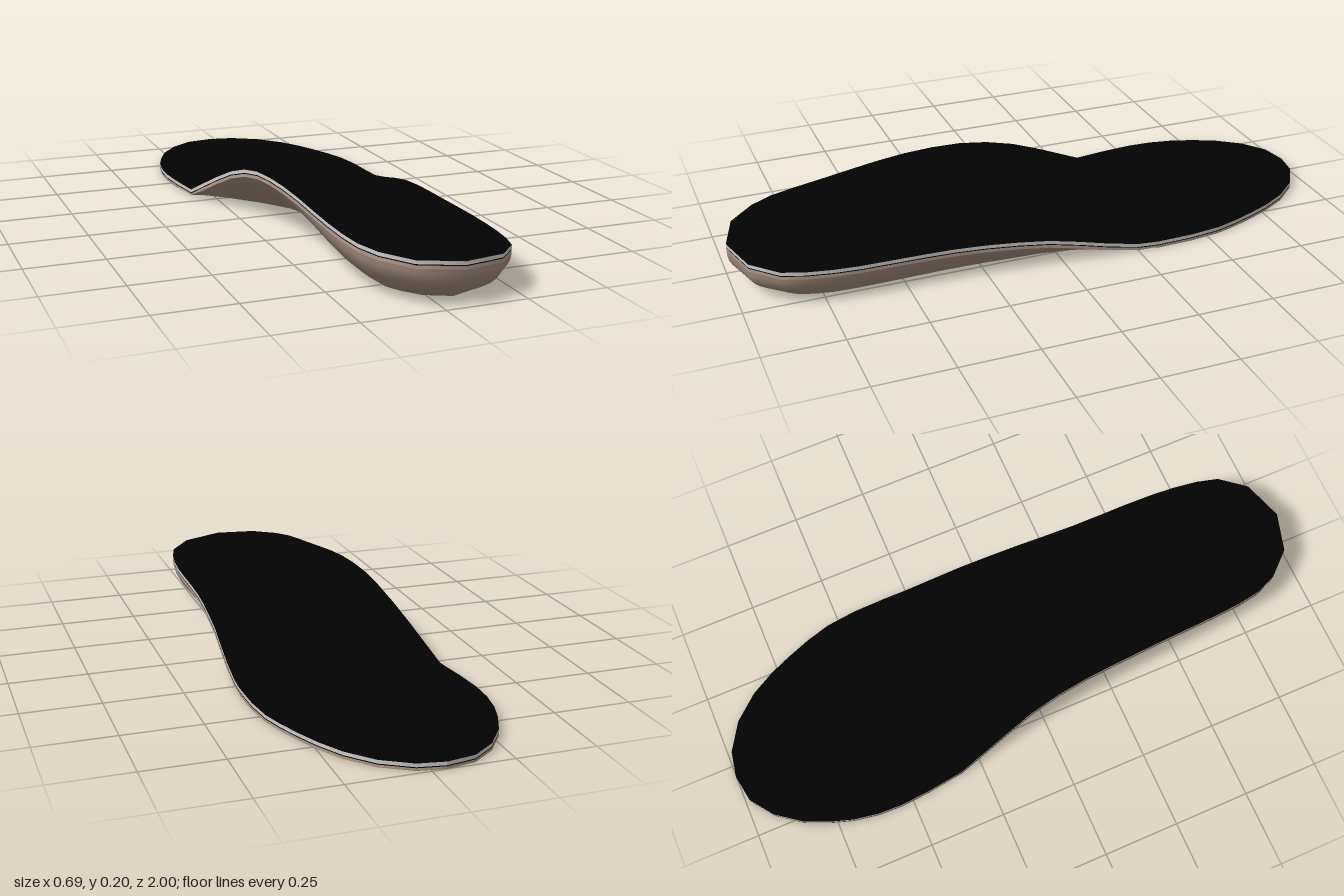
import * as THREE from 'three';

// Stations toe to heel: z, left edge x, right edge x, left edge y, right edge y, middle y
const T = 0.022;
const STATIONS = [
  [-1, -0.045, -0.045], [-0.985, -0.135, 0.04], [-0.93, -0.21, 0.13], [-0.85, -0.27, 0.2],
  [-0.77, -0.305, 0.245], [-0.7, -0.328, 0.275], [-0.62, -0.342, 0.305], [-0.54, -0.345, 0.328],
  [-0.44, -0.337, 0.34], [-0.32, -0.321, 0.343],
  [-0.25, -0.306, 0.341, 0.056, 0.026, 0.023], [-0.15, -0.285, 0.336, 0.104, 0.045, 0.03],
  [-0.05, -0.264, 0.329, 0.148, 0.068, 0.043], [0.05, -0.25, 0.32, 0.178, 0.087, 0.057],
  [0.15, -0.241, 0.313, 0.195, 0.098, 0.068], [0.25, -0.234, 0.306, 0.2, 0.105, 0.072],
  [0.35, -0.227, 0.301, 0.198, 0.109, 0.07], [0.45, -0.219, 0.3, 0.19, 0.111, 0.066],
  [0.55, -0.211, 0.3, 0.178, 0.112, 0.062], [0.65, -0.202, 0.298, 0.166, 0.112, 0.06],
  [0.73, -0.193, 0.292, 0.158, 0.113, 0.061], [0.81, -0.178, 0.28, 0.151, 0.115, 0.067],
  [0.88, -0.147, 0.26, 0.145, 0.118, 0.079], [0.96, -0.075, 0.19, 0.138, 0.125, 0.11],
  [1, 0.055, 0.055, 0.132, 0.132, 0.132],
].map(([z, xl, xr, yl = T, yr = T, yc = T]) => ({ z, xl, xr, yl, yr, yc }));

// How far the base tucks under along z, as a share of the half width
const TUCK_LEFT = [[-0.36, 0], [-0.2, 0.42], [-0.05, 0.7], [0.1, 0.84], [0.25, 0.8], [0.4, 0.64], [0.6, 0.48], [1, 0.42]];
const TUCK_RIGHT = [[-0.32, 0], [-0.15, 0.2], [0, 0.28], [0.3, 0.28], [1, 0.24]];

const COVER = 0.011;
const SEAM = 0.003;
const WALL_STEPS = 8;
const TOP_STEPS = 20;

// Straight-line lookup in a list of [z, value] pairs
function lookup(keys, z) {
  if (z <= keys[0][0]) return keys[0][1];
  const i = keys.findIndex(([k]) => k >= z);
  const [[z0, v0], [z1, v1]] = [keys[i - 1], keys[i]];
  return v0 + ((v1 - v0) * (z - z0)) / (z1 - z0);
}

// Joins rows of points into one smooth sheet
function sheet(rows) {
  const cols = rows[0].length;
  const index = [];
  for (let i = 0; i < rows.length - 1; i++) {
    for (let j = 0; j < cols - 1; j++) {
      const a = i * cols + j, d = a + cols;
      index.push(a, a + 1, d + 1, a, d + 1, d);
    }
  }
  const geo = new THREE.BufferGeometry();
  geo.setAttribute('position', new THREE.Float32BufferAttribute(rows.flat(2), 3));
  geo.setIndex(index);
  geo.computeVertexNormals();
  return geo;
}

// Wall point: t = 0 under the lip, t = 1 at the sole; nearly straight at the arch, rounder at the heel
function wallPoint(s, left, y, t) {
  const half = (s.xr - s.xl) / 2;
  const bulge = Math.pow(t, 1.15 + 0.7 * THREE.MathUtils.smoothstep(s.z, 0.35, 0.85));
  const x = left
    ? s.xl + half * lookup(TUCK_LEFT, s.z) * bulge
    : s.xr - half * lookup(TUCK_RIGHT, s.z) * bulge;
  const z = s.z - 0.07 * THREE.MathUtils.smoothstep(s.z, 0.6, 1) * Math.pow(t, 2.5);
  return [x, y, z];
}

// The sole lifts slightly at the back of the heel
const soleY = (s) => 0.01 * THREE.MathUtils.smoothstep(s.z, 0.75, 1);

// Walks the outline: down the left side, round the heel, back up the right side
function outline(column) {
  return [
    ...STATIONS.map((s) => column(s, true)),
    ...STATIONS.slice(0, -1).reverse().map((s) => column(s, false)),
  ];
}

// Upright strip around the rim, between two depths below the top edge
function band(from, to) {
  return sheet(outline((s, left) => {
    const y = left ? s.yl : s.yr;
    return [from, to].map((d) => wallPoint(s, left, y - d, 0));
  }));
}

export function createModel() {
  const group = new THREE.Group();
  const add = (name, geo, color) => {
    const mesh = new THREE.Mesh(geo, new THREE.MeshStandardMaterial({ color }));
    mesh.name = name;
    group.add(mesh);
  };
  const black = 0x020202, grey = 0xc4c4c4, tan = 0xb39a8b, brown = 0xa08a7c;

  // Cupped top surface, highest along the arch edge, with a rounder bowl at the heel
  add('topCover', sheet(STATIONS.map((s) => {
    const row = [];
    const power = 1.25 + 0.45 * THREE.MathUtils.smoothstep(s.z, 0.3, 0.8);
    for (let j = 0; j <= TOP_STEPS; j++) {
      const u = 1 - (2 * j) / TOP_STEPS;
      const edge = u < 0 ? s.yl : s.yr;
      const x = (s.xl + s.xr) / 2 + (u * (s.xr - s.xl)) / 2;
      row.push([x, s.yc + (edge - s.yc) * Math.pow(Math.abs(u), power), s.z]);
    }
    return row;
  })), black);

  // Layered rim
  add('coverEdge', band(0, COVER), grey);
  add('seam', band(COVER, COVER + SEAM), black);

  // Base lip and the tucked wall beneath it
  const lipTop = COVER + SEAM;
  const lipBottom = (y) => y - lipTop - Math.min(0.01, (y - lipTop) * 0.7);
  add('baseLip', sheet(outline((s, left) => {
    const y = left ? s.yl : s.yr;
    return [y - lipTop, lipBottom(y)].map((h) => wallPoint(s, left, h, 0));
  })), tan);
  add('baseWall', sheet(outline((s, left) => {
    const h = lipBottom(left ? s.yl : s.yr);
    return Array.from({ length: WALL_STEPS + 1 }, (_, k) => {
      const t = k / WALL_STEPS;
      return wallPoint(s, left, THREE.MathUtils.lerp(h, soleY(s), t), t);
    });
  })), brown);

  // Flat sole
  add('sole', sheet(STATIONS.map((s) => [
    wallPoint(s, true, soleY(s), 1), wallPoint(s, false, soleY(s), 1),
  ])), brown);

  return group;
}
